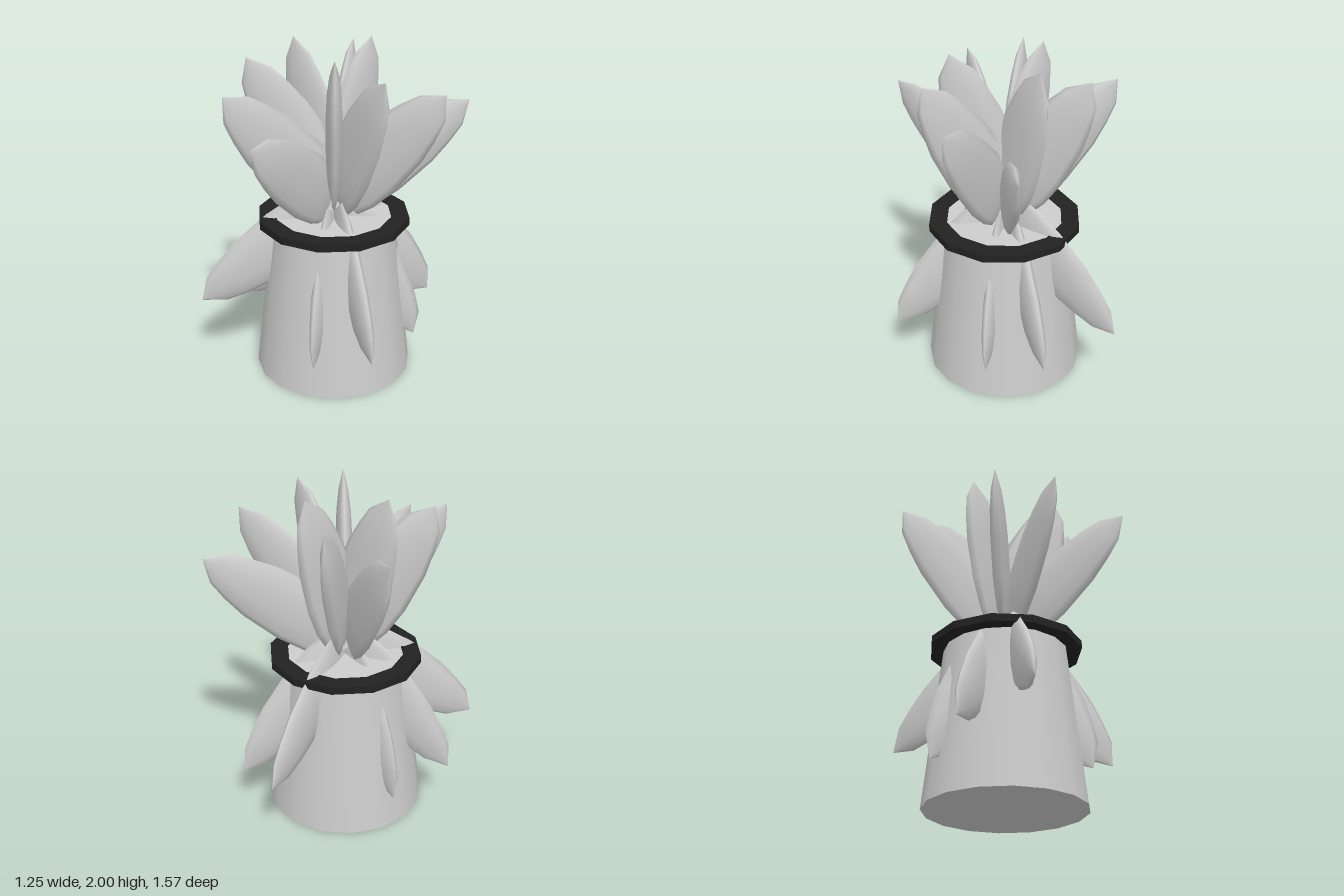
import * as THREE from 'three';

const GREY = new THREE.MeshStandardMaterial({ color: 0xcccccc });
GREY.name = 'light grey';
const BLACK = new THREE.MeshStandardMaterial({ color: 0x222222 });
BLACK.name = 'near black';

// Flat, blunt-based leaf growing along +y: [distance, half width, half thickness]
function leafGeometry() {
  const rings = [
    [0.05, 0, 0], [0.06, 0.15, 0.015], [0.17, 0.182, 0.036], [0.35, 0.195, 0.048],
    [0.6, 0.175, 0.048], [0.75, 0.14, 0.042], [0.87, 0.1, 0.028], [0.985, 0, 0],
  ];
  const sides = 10, pos = [], index = [];
  rings.forEach(([y, w, t], i) => {
    for (let j = 0; j < sides; j++) {
      const a = (j / sides) * Math.PI * 2;
      pos.push(Math.cos(a) * w, y, Math.sin(a) * t);
      if (i === rings.length - 1) continue;
      const p = i * sides + j, q = i * sides + ((j + 1) % sides);
      index.push(p, p + sides, q, q, p + sides, q + sides);
    }
  });
  const g = new THREE.BufferGeometry();
  g.setAttribute('position', new THREE.Float32BufferAttribute(pos, 3));
  g.setIndex(index);
  g.computeVertexNormals();
  return g;
}

export function createModel() {
  const model = new THREE.Group();
  const add = (name, geometry, material) => {
    const m = new THREE.Mesh(geometry, material);
    m.name = name;
    model.add(m);
    return m;
  };

  // Tapered pot with a closed top
  add('pot', new THREE.CylinderGeometry(0.36, 0.47, 0.985, 16), GREY).position.y = 0.4925;

  // Faceted flat collar around the rim
  const profile = [[0.45, 0.948], [0.45, 0.993], [0.345, 0.993], [0.345, 0.948], [0.45, 0.948]]
    .map(([r, y]) => new THREE.Vector2(r, y));
  const collar = new THREE.LatheGeometry(profile, 12).toNonIndexed();
  collar.computeVertexNormals();
  add('collar', collar, BLACK);

  // Tiers of leaves radiating from one centre: sine of elevation, azimuths in degrees
  const tiers = [
    [0.952, [-85, 48, 180]],
    [0.865, [-117, 16, 147]],
    [0.745, [-150, -18, 114]],
    [0.59, [-51, 81]],
    [-0.59, [-99, 129]],
    [-0.74, [30, 162, -66]],
    [-0.865, [63, 195, -33]],
  ];
  const leaf = leafGeometry();
  for (const [s, azimuths] of tiers) {
    const c = Math.sqrt(1 - s * s);
    for (const deg of azimuths) {
      const a = THREE.MathUtils.degToRad(deg);
      const along = new THREE.Vector3(c * Math.cos(a), s, c * Math.sin(a));
      const across = new THREE.Vector3(s * Math.cos(a), -c, s * Math.sin(a));
      const through = new THREE.Vector3().crossVectors(across, along);
      const m = add(s > 0 ? 'upperLeaf' : 'lowerLeaf', leaf, GREY);
      m.quaternion.setFromRotationMatrix(new THREE.Matrix4().makeBasis(across, along, through));
      m.position.y = 1.06;
    }
  }
  return model;
}
